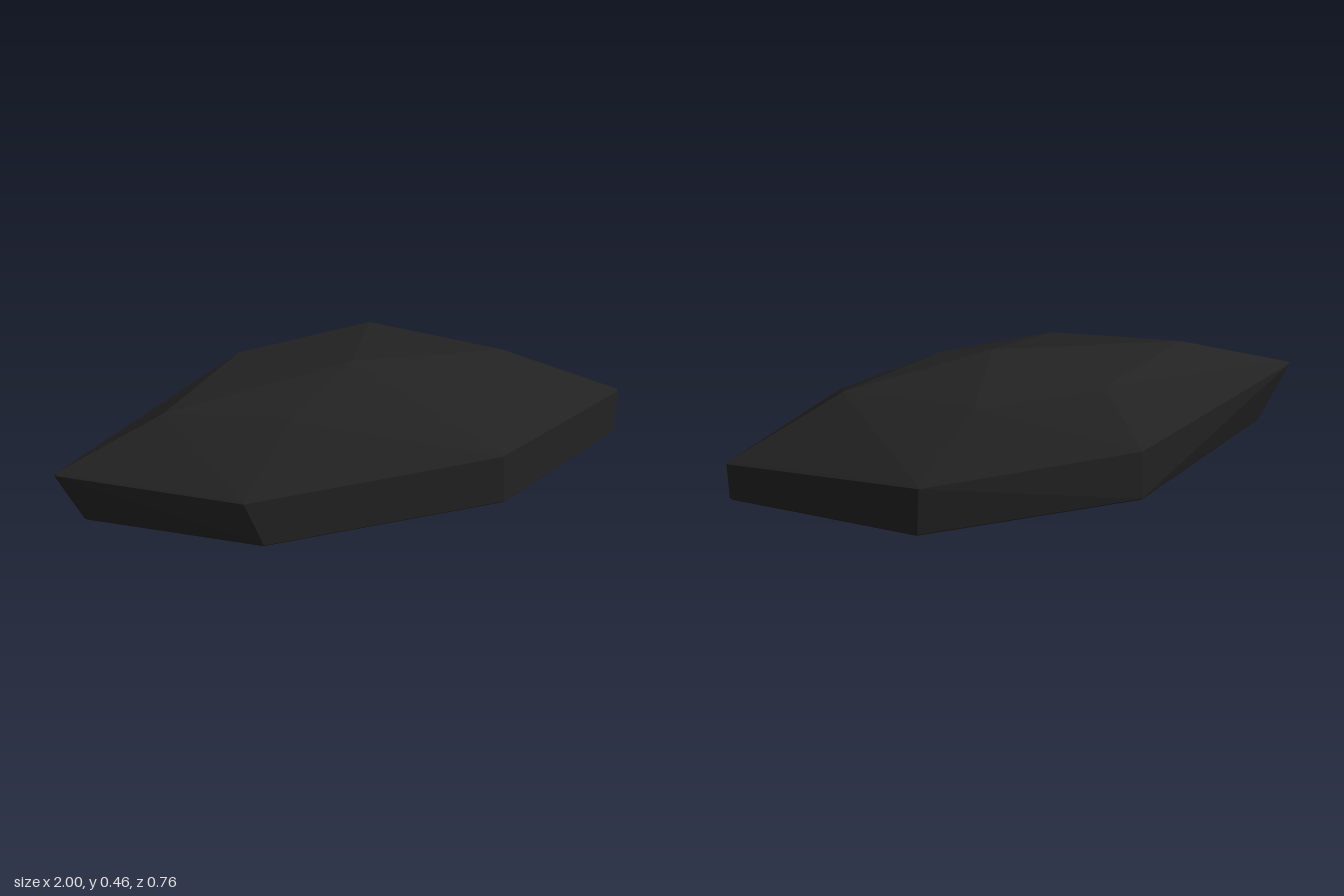
import * as THREE from 'three';
import { ConvexGeometry } from 'three/addons/geometries/ConvexGeometry.js';

// Low, six-sided faceted rock with narrow bevels on its edges.
export function createModel() {
  const group = new THREE.Group();
  group.name = 'rock';
  const stone = new THREE.MeshStandardMaterial({ color: 0x222222 });
  stone.name = 'dark stone';

  // Corners of each level, from the right tip round by the front
  const base = [
    [0.975, 0, 0.06], [0.505, 0, 0.35], [-0.35, 0, 0.37],
    [-0.885, 0, 0.055], [-0.36, 0, -0.335], [0.44, 0, -0.345],
  ];
  const waist = [
    [0.992, 0.157, 0.043], [0.505, 0.19, 0.342], [-0.42, 0.19, 0.364],
    [-0.992, 0.207, 0.053], [-0.36, 0.195, -0.335], [0.443, 0.205, -0.37],
  ];
  const shoulder = [
    [0.595, 0.382, 0.015], [0.2, 0.387, 0.165], [-0.2, 0.377, 0.195],
    [-0.605, 0.367, 0.033], [-0.27, 0.385, -0.21], [0.2, 0.402, -0.235],
  ];
  const peak = [[0.06, 0.45, 0.03]];

  // Each corner becomes a tiny octahedron, so the hull gets bevelled edges
  const r = 0.008;
  const points = [];
  for (const [x, y, z] of [...base, ...waist, ...shoulder, ...peak]) {
    const cy = Math.max(y, r);
    for (const s of [-r, r]) {
      points.push(
        new THREE.Vector3(x + s, cy, z),
        new THREE.Vector3(x, cy + s, z),
        new THREE.Vector3(x, cy, z + s),
      );
    }
  }

  const body = new THREE.Mesh(new ConvexGeometry(points), stone);
  body.name = 'rockBody';
  group.add(body);
  return group;
}
